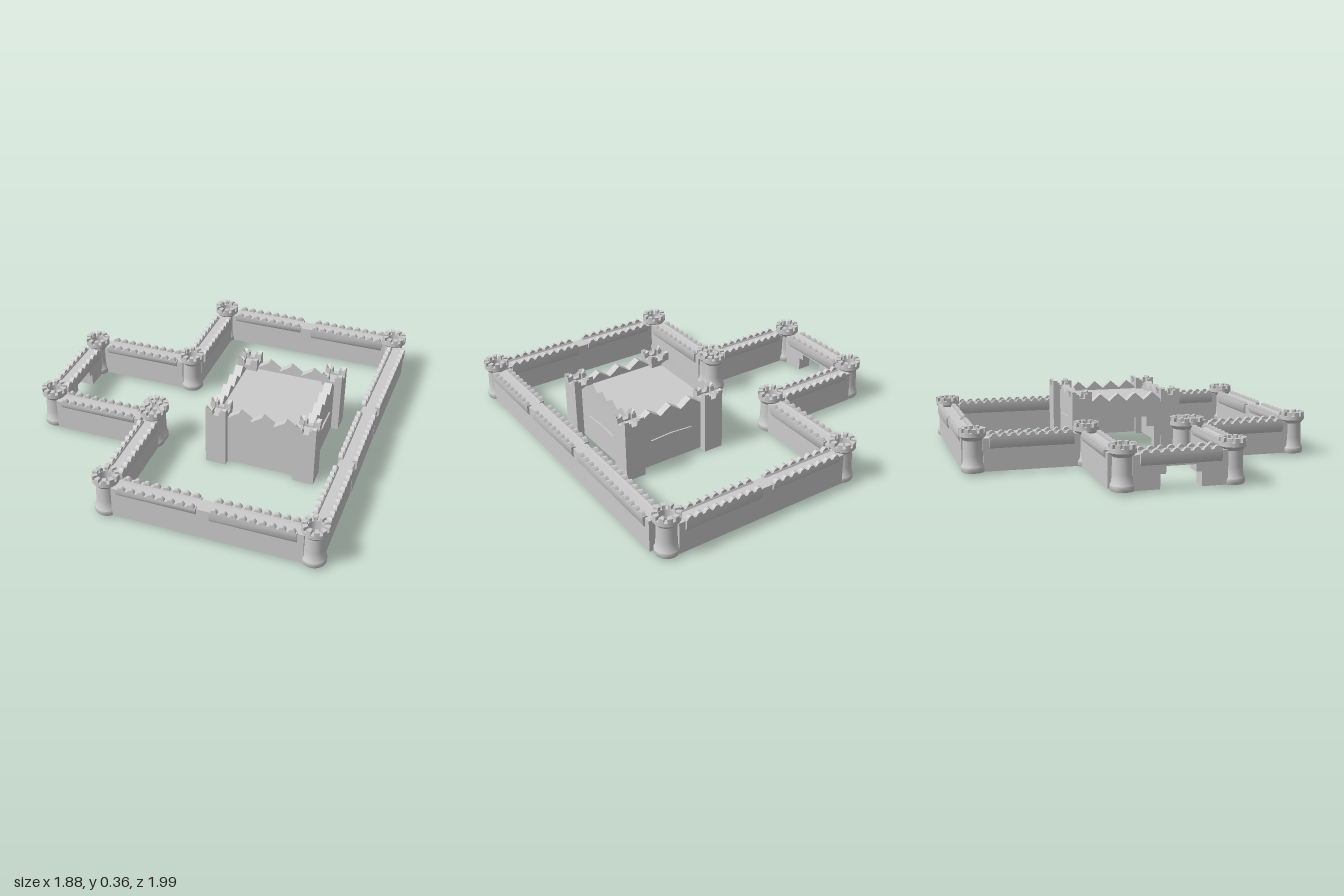
import * as THREE from 'three';
import { toCreasedNormals } from 'three/addons/utils/BufferGeometryUtils.js';

const material = new THREE.MeshStandardMaterial({ color: 0xcccccc, side: THREE.DoubleSide });

function addMesh(parent, name, geometry, x = 0, y = 0, z = 0) {
  const mesh = new THREE.Mesh(toCreasedNormals(geometry, 0.6), material);
  mesh.name = name;
  mesh.position.set(x, y, z);
  parent.add(mesh);
  return mesh;
}

// Extrude an outline, centred across its thickness
function plate(points, depth) {
  const shape = new THREE.Shape(points.map(([x, y]) => new THREE.Vector2(x, y)));
  return new THREE.ExtrudeGeometry(shape, { depth, bevelEnabled: false, curveSegments: 4 })
    .translate(0, 0, -depth / 2);
}

// Stepped doorway outline, running along the foot of a wall
const doorway = (w, h, y) => [
  [-w / 2, y], [-w / 2, h * 0.7], [-w * 0.36, h * 0.7], [-w * 0.36, h],
  [w * 0.36, h], [w * 0.36, h * 0.7], [w / 2, h * 0.7], [w / 2, y],
];

// Hollow round tower with flared foot, corbelled head and merlons
function roundTower(x, z) {
  const tower = new THREE.Group();
  tower.name = 'roundTower';
  tower.position.set(x, 0, z);
  const profile = [
    [0.042, 0.012], [0.062, 0.012], [0.066, 0.02], [0.066, 0.042], [0.058, 0.054],
    [0.055, 0.1], [0.053, 0.185], [0.064, 0.2], [0.071, 0.206], [0.071, 0.228],
    [0.042, 0.228], [0.042, 0.012],
  ].map(([r, y]) => new THREE.Vector2(r, y));
  addMesh(tower, 'towerShaft', new THREE.LatheGeometry(profile, 28));
  const count = 10;
  const half = (Math.PI / count) * 0.62;
  for (let i = 0; i < count; i++) {
    const shape = new THREE.Shape();
    shape.absarc(0, 0, 0.071, -half, half, false);
    shape.absarc(0, 0, 0.044, half, -half, true);
    const merlon = new THREE.ExtrudeGeometry(shape, { depth: 0.024, bevelEnabled: false, curveSegments: 3 });
    merlon.rotateX(-Math.PI / 2).rotateY((i / count) * Math.PI * 2);
    addMesh(tower, 'towerMerlon', merlon, 0, 0.226, 0);
  }
  return tower;
}

// Straight wall from one point to another, with corbelled parapets on both sides
function wall(x0, z0, x1, z1, bandY, gate = false) {
  const group = new THREE.Group();
  group.name = gate ? 'gateWall' : 'curtainWall';
  const length = Math.hypot(x1 - x0, z1 - z0);
  group.position.set((x0 + x1) / 2, 0, (z0 + z1) / 2);
  group.rotation.y = -Math.atan2(z1 - z0, x1 - x0);

  const h = length / 2;
  const foot = gate ? doorway(0.22, 0.13, 0.014) : [];
  addMesh(group, 'wallBody', plate([[-h, 0.014], ...foot, [h, 0.014], [h, 0.194], [-h, 0.194]], 0.082));

  const run = length - 0.07;
  const count = Math.round(run / 0.052);
  const pitch = run / count;
  const crest = [[-run / 2, 0.19], [-run / 2, 0.203]];
  for (let i = 0; i < count; i++) {
    const x = -run / 2 + i * pitch;
    for (const [t, y] of [[0.12, 0.203], [0.24, 0.214], [0.4, 0.22], [0.6, 0.22], [0.76, 0.214], [0.88, 0.203]]) {
      crest.push([x + t * pitch, y]);
    }
  }
  crest.push([run / 2, 0.203], [run / 2, 0.19]);

  for (const side of [-1, 1]) {
    const section = [[0.038, bandY], [0.053, bandY + 0.022], [0.053, 0.203], [0.029, 0.203], [0.023, 0.19], [0.038, 0.18]];
    const parapet = plate(section.map(([z, y]) => [z * side, y]), run).rotateY(Math.PI / 2);
    addMesh(group, 'parapet', parapet);
    addMesh(group, 'merlons', plate(crest, 0.022), 0, 0, -side * 0.042);
  }
  return group;
}

// Square corner tower with a notched crown
function squareTower(x, z) {
  const tower = new THREE.Group();
  tower.name = 'keepTower';
  tower.position.set(x, 0, z);
  addMesh(tower, 'keepTowerBody', new THREE.BoxGeometry(0.116, 0.31, 0.116), 0, 0.155, 0);
  const crown = [
    [-0.058, 0.3], [0.058, 0.3], [0.058, 0.36], [0.04, 0.343], [0.02, 0.35],
    [0.016, 0.322], [-0.016, 0.322], [-0.02, 0.35], [-0.04, 0.343], [-0.058, 0.36],
  ];
  for (let i = 0; i < 4; i++) {
    const geometry = plate(crown, 0.026).translate(0, 0, 0.045).rotateY((i * Math.PI) / 2);
    addMesh(tower, 'crownSide', geometry);
  }
  return tower;
}

// Keep wall with a row of pointed merlons, optionally with a doorway
function keepWall(name, length, peaks, door) {
  const h = length / 2;
  const foot = door ? doorway(0.34, 0.2, 0.008) : [];
  const points = [[-h, 0.008], ...foot, [h, 0.008], [h, 0.3]];
  const pitch = length / peaks;
  for (let i = 0; i < peaks; i++) {
    const x = h - i * pitch;
    points.push([x - pitch * 0.5, 0.345], [x - pitch, 0.3]);
  }
  const mesh = new THREE.Mesh(toCreasedNormals(plate(points, 0.045), 0.4), material);
  mesh.name = name;
  return mesh;
}

function createKeep() {
  const keep = new THREE.Group();
  keep.name = 'keep';
  for (const x of [0.138, 0.643]) {
    for (const z of [-0.247, 0.29]) keep.add(squareTower(x, z));
  }
  // Front and back walls
  for (const [name, z] of [['keepFrontWall', 0.293], ['keepBackWall', -0.24]]) {
    const side = keepWall(name, 0.39, 3, false);
    side.position.set(0.39, 0, z);
    keep.add(side);
  }
  // Side walls, the doorway on the gate side
  for (const [name, x, door] of [['keepDoorWall', 0.108, true], ['keepSideWall', 0.637, false]]) {
    const side = keepWall(name, 0.42, 4, door);
    side.position.set(x, 0, 0.022);
    side.rotation.y = Math.PI / 2;
    keep.add(side);
  }
  addMesh(keep, 'keepRoof', new THREE.BoxGeometry(0.5, 0.02, 0.5), 0.375, 0.28, 0.026);
  // Narrow ledges with tapering ends
  const ledge = [[-0.13, 0], [0, -0.008], [0.13, 0], [0, 0.008]];
  addMesh(keep, 'backLedge', plate(ledge, 0.016), 0.39, 0.17, -0.263);
  addMesh(keep, 'sideLedge', plate(ledge, 0.016).rotateY(Math.PI / 2), 0.66, 0.17, 0.022);
  return keep;
}

export function createModel() {
  const castle = new THREE.Group();
  castle.name = 'castle';

  const towers = [
    [-0.25, -0.93], [0.855, -0.93], [-0.255, -0.31], [-0.87, -0.28], [-0.87, 0.3],
    [-0.255, 0.25], [-0.255, 0.3], [-0.255, 0.92], [0.865, 0.92],
  ];
  for (const [x, z] of towers) castle.add(roundTower(x, z));

  const high = 0.156;
  const low = 0.134;
  const walls = [
    [-0.21, -0.945, 0.295, -0.945, high], [0.295, -0.945, 0.82, -0.945, low], // back
    [-0.21, 0.923, 0.295, 0.923, high], [0.295, 0.923, 0.82, 0.923, low], // front
    [0.888, -0.89, 0.876, -0.16, low], [0.874, -0.16, 0.874, 0.36, low], [0.872, 0.36, 0.868, 0.88, low], // long side
    [-0.245, -0.88, -0.25, -0.35, low], [-0.25, 0.34, -0.25, 0.88, low], // inner side
    [-0.83, -0.305, -0.3, -0.305, high], [-0.83, 0.322, -0.31, 0.322, high], // gate court
  ];
  for (const w of walls) castle.add(wall(...w));
  castle.add(wall(-0.875, -0.24, -0.875, 0.26, low, true));

  castle.add(createKeep());
  return castle;
}
